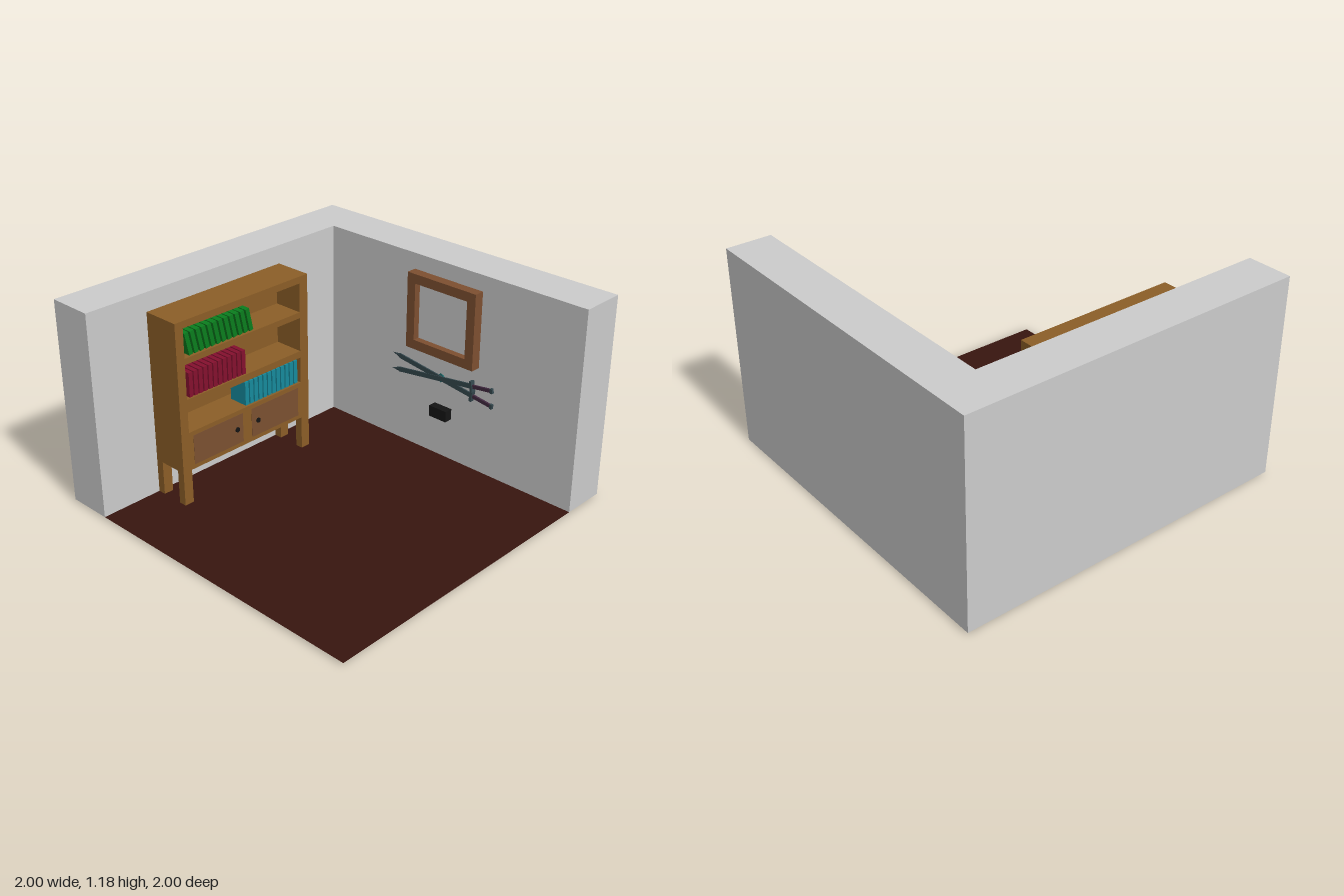
import * as THREE from 'three';

const mat = (color) => new THREE.MeshStandardMaterial({ color, flatShading: true });
const WALL = mat(0xcccccc), WOOD = mat(0x8b5e27), DOOR = mat(0x7b5030), FRAME = mat(0x7d4f30);
const BLACK = mat(0x141414), STEEL = mat(0x34474d), TEAL = mat(0x1f6f70), GRIP = mat(0x40283f);
const FLOOR = new THREE.MeshStandardMaterial({ color: 0x38150f, side: THREE.DoubleSide });

function add(parent, name, geometry, material) {
  const mesh = new THREE.Mesh(geometry, material);
  mesh.name = name;
  parent.add(mesh);
  return mesh;
}

// Box given by its lower and upper limits on each axis
function box(parent, name, [x0, x1], [y0, y1], [z0, z1], material) {
  const mesh = add(parent, name, new THREE.BoxGeometry(x1 - x0, y1 - y0, z1 - z0), material);
  mesh.position.set((x0 + x1) / 2, (y0 + y1) / 2, (z0 + z1) / 2);
  return mesh;
}

function group(parent, name) {
  const g = new THREE.Group();
  g.name = name;
  parent.add(g);
  return g;
}

function rectangle(Type, x0, x1, y0, y1) {
  const p = new Type();
  p.moveTo(x0, y0).lineTo(x1, y0).lineTo(x1, y1).lineTo(x0, y1).closePath();
  return p;
}

function room(root) {
  const floor = add(root, 'floor', new THREE.PlaneGeometry(2, 2).rotateX(-Math.PI / 2), FLOOR);
  floor.position.y = 0.012;
  // L-shaped pair of walls in one piece
  const s = new THREE.Shape();
  s.moveTo(-1, 1).lineTo(-1, 0.74).lineTo(0.74, 0.74).lineTo(0.74, -1).lineTo(1, -1).lineTo(1, 1).closePath();
  const walls = new THREE.ExtrudeGeometry(s, { depth: 1.17, bevelEnabled: false }).rotateX(-Math.PI / 2);
  add(root, 'walls', walls, WALL).position.y = 0.012;
}

function bookcase(root) {
  const g = group(root, 'bookcase');
  const front = -0.52, back = -0.74, inner = -0.7;

  // Carcass with three open compartments
  const s = rectangle(THREE.Shape, -0.63, 0.305, 0.21, 1.075);
  for (const [y0, y1] of [[0.435, 0.59], [0.63, 0.83], [0.865, 1.035]]) {
    s.holes.push(rectangle(THREE.Path, -0.578, 0.245, y0, y1));
  }
  const body = new THREE.ExtrudeGeometry(s, { depth: front - inner, bevelEnabled: false });
  add(g, 'carcass', body, WOOD).position.z = inner;
  box(g, 'backPanel', [-0.63, 0.305], [0.21, 1.075], [back, inner], WOOD);

  for (const x of [-0.63, 0.247]) {
    for (const z of [back, front - 0.046]) {
      box(g, 'leg', [x, x + 0.058], [0, 0.21], [z, z + 0.046], WOOD);
    }
  }

  // Doors and round knobs
  for (const [x0, x1, knobX] of [[-0.55, -0.2, -0.243], [-0.135, 0.22, -0.09]]) {
    box(g, 'door', [x0, x1], [0.235, 0.41], [front - 0.01, front + 0.002], DOOR);
    const knob = add(g, 'knob', new THREE.CylinderGeometry(0.014, 0.014, 0.01, 16).rotateX(Math.PI / 2), BLACK);
    knob.position.set(knobX, 0.325, front + 0.004);
  }

  // Rows of books: first centre, spacing, height, shelf height, lean
  const rows = [
    { name: 'greenBook', color: 0x0a7d1e, x: -0.538, step: 0.0382, h: 0.132, y: 0.866, lean: 0.2 },
    { name: 'redBook', color: 0x84102e, x: -0.537, step: 0.0335, h: 0.14, y: 0.63, lean: 0 },
    { name: 'blueBook', color: 0x168a9c, x: -0.152, step: 0.0335, h: 0.14, y: 0.437, lean: 0 },
  ];
  for (const r of rows) {
    const books = group(g, r.name + 's'), material = mat(r.color);
    for (let i = 0; i < 12; i++) {
      const b = add(books, r.name, new THREE.BoxGeometry(0.025, r.h, 0.12), material);
      b.position.set(r.x + i * r.step, r.y + r.h / 2 + (r.lean ? 0.002 : 0), -0.59);
      b.rotation.z = r.lean;
    }
  }
}

function wallFrame(root) {
  const g = group(root, 'wallFrame');
  const s = rectangle(THREE.Shape, -0.235, 0.235, 0.645, 1.09);
  s.holes.push(rectangle(THREE.Path, -0.18, 0.18, 0.7, 1.035));
  const border = new THREE.ExtrudeGeometry(s, { depth: 0.06, bevelEnabled: false }).rotateY(-Math.PI / 2);
  add(g, 'frameBorder', border, FRAME).position.set(0.74, 0, 0.115);
  box(g, 'pane', [0.72, 0.738], [0.7, 1.035], [-0.065, 0.295], WALL);
}

// Sword along z, centred on the origin, with the grip towards +z
function sword(parent, name) {
  const g = group(parent, name);
  box(g, 'blade', [-0.004, 0.004], [-0.014, 0.014], [-0.31, 0.21], STEEL);
  const tip = add(g, 'bladeTip', new THREE.ConeGeometry(0.014, 0.05, 4).rotateX(-Math.PI / 2), STEEL);
  tip.position.z = -0.335;
  tip.scale.x = 0.3;
  box(g, 'guard', [-0.014, 0.014], [-0.032, 0.032], [0.21, 0.225], STEEL);
  box(g, 'grip', [-0.006, 0.006], [-0.01, 0.01], [0.225, 0.345], GRIP);
  box(g, 'pommel', [-0.008, 0.008], [-0.014, 0.014], [0.345, 0.36], STEEL);
  return g;
}

function wallDisplay(root) {
  const g = group(root, 'swordDisplay');
  // Two swords crossing at a shallow angle, held by a pointed mount
  for (const side of [-1, 1]) {
    const w = sword(g, 'sword');
    w.position.set(0.702 + side * 0.002, 0.516, 0.125);
    w.rotation.x = side * 0.135;
  }
  const mount = add(g, 'mount', new THREE.ConeGeometry(0.03, 0.03, 4).rotateZ(-Math.PI / 2), TEAL);
  mount.position.set(0.724, 0.516, 0.115);
  box(root, 'wallBox', [0.69, 0.74], [0.265, 0.33], [0.055, 0.175], BLACK);
}

export function createModel() {
  const root = new THREE.Group();
  root.name = 'roomCorner';
  room(root);
  bookcase(root);
  wallFrame(root);
  wallDisplay(root);
  return root;
}
